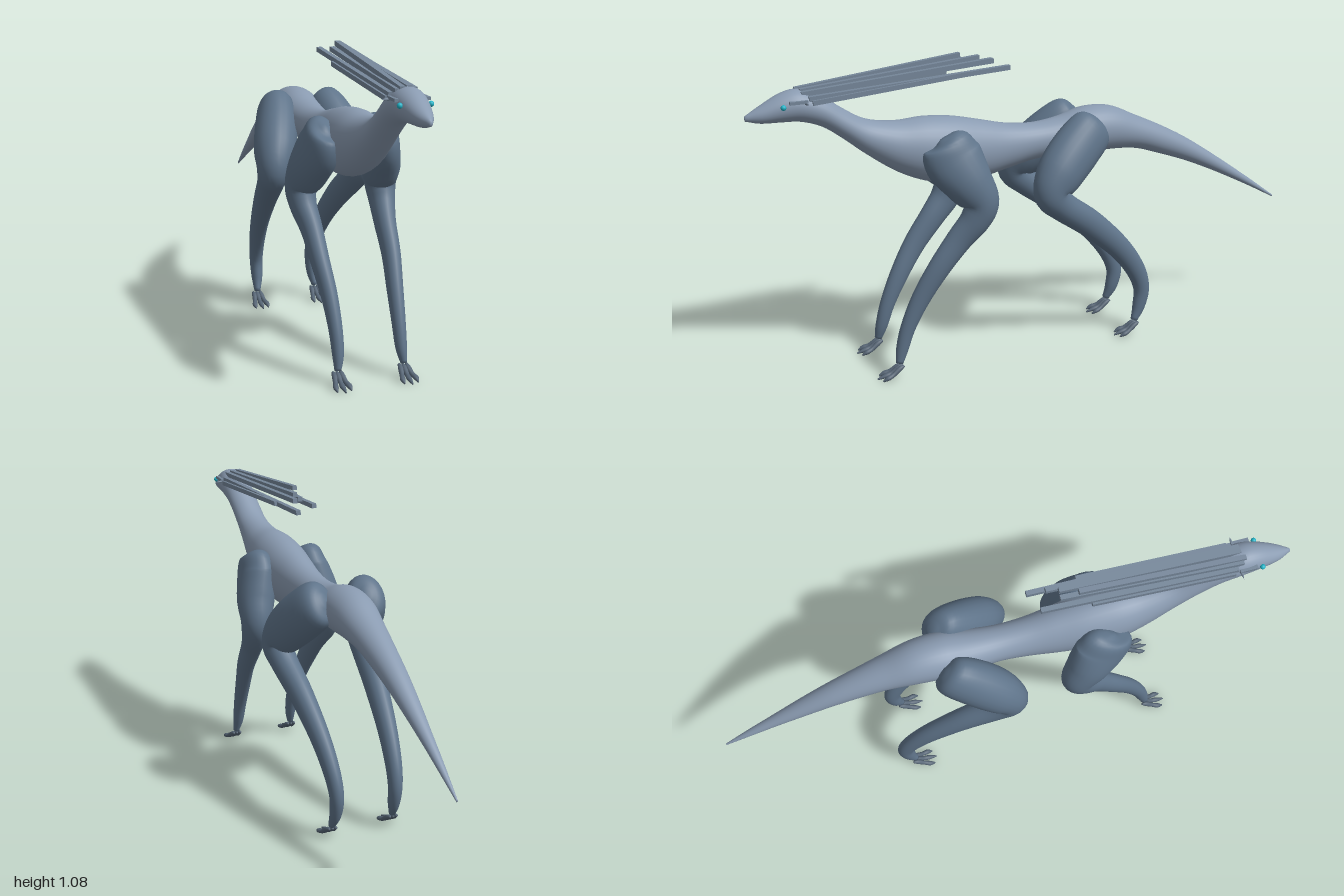
import * as THREE from 'three';

const mat = (name, color) => Object.assign(new THREE.MeshStandardMaterial({ color }), { name });

// Smooth closed skin through rows of [x, y, z, halfWidth, halfDepth].
// With upright = true the cross-sections stay vertical, otherwise they follow the path.
function loft(rows, steps, sides, upright = false) {
  const path = new THREE.CatmullRomCurve3(rows.map(r => new THREE.Vector3(r[0], r[1], r[2])), false, 'catmullrom');
  const size = new THREE.CatmullRomCurve3(rows.map(r => new THREE.Vector3(r[3], r[4], 0)), false, 'catmullrom');
  const pos = [], index = [];
  for (let i = 0; i <= steps; i++) {
    const t = i / steps, c = path.getPoint(t), s = size.getPoint(t);
    const T = upright ? new THREE.Vector3(0, 0, -1) : path.getTangent(t);
    const u = new THREE.Vector3(1, 0, 0).addScaledVector(T, -T.x).normalize();
    const w = new THREE.Vector3().crossVectors(T, u);
    for (let j = 0; j < sides; j++) {
      const a = j / sides * Math.PI * 2;
      const p = c.clone().addScaledVector(u, Math.cos(a) * s.x).addScaledVector(w, Math.sin(a) * s.y);
      pos.push(p.x, p.y, p.z);
    }
  }
  for (let i = 0; i < steps; i++) for (let j = 0; j < sides; j++) {
    const k = (j + 1) % sides, a = i * sides + j, b = i * sides + k, c = a + sides, d = b + sides;
    index.push(a, b, c, b, d, c);
  }
  // end caps
  const last = steps * sides, first = rows[0], end = rows[rows.length - 1], n = pos.length / 3;
  pos.push(first[0], first[1], first[2], end[0], end[1], end[2]);
  for (let j = 0; j < sides; j++) {
    const k = (j + 1) % sides;
    index.push(n, k, j, n + 1, last + j, last + k);
  }
  const g = new THREE.BufferGeometry();
  g.setAttribute('position', new THREE.Float32BufferAttribute(pos, 3));
  g.setIndex(index);
  g.computeVertexNormals();
  return g;
}

export function createModel() {
  const root = new THREE.Group();
  root.name = 'creature';
  const skin = mat('blue grey skin', 0x8a9bb1);
  const limb = mat('slate limb', 0x5f748a);
  const quill = mat('grey quill', 0x76879a);
  const claw = mat('dark claw', 0x566575);
  const teal = mat('teal eye', 0x22b4c8);
  const add = (parent, name, geo, m) => {
    const mesh = new THREE.Mesh(geo, m);
    mesh.name = name;
    parent.add(mesh);
    return mesh;
  };

  // Head, neck, trunk and tail as one skin: z, top, bottom, half width
  const outline = [
    [1.0, .947, .93, .006], [.95, .975, .918, .03], [.88, 1.01, .915, .047], [.82, 1.018, .91, .055],
    [.75, .99, .885, .054], [.68, .94, .835, .053], [.6, .893, .77, .058], [.5, .875, .7, .075],
    [.4, .878, .655, .09], [.3, .868, .637, .09], [.2, .845, .64, .078], [.1, .82, .66, .066],
    [0, .81, .68, .062], [-.1, .82, .682, .07], [-.2, .845, .68, .08], [-.3, .838, .68, .075],
    [-.4, .793, .67, .061], [-.5, .745, .637, .05], [-.6, .69, .6, .041], [-.7, .625, .556, .032],
    [-.8, .555, .507, .022], [-.9, .483, .455, .013], [-1, .408, .4, .003],
  ];
  add(root, 'body', loft(outline.map(([z, t, b, w]) => [0, (t + b) / 2, z, w, (t - b) / 2]), 110, 32, true), skin);

  // Legs, each one tapering tube from hip to ankle
  const foreLeg = [
    [.095, .825, .36, .012, .02], [.098, .805, .35, .05, .08], [.105, .75, .335, .062, .102],
    [.125, .67, .29, .067, .085], [.14, .6, .252, .055, .064], [.14, .54, .272, .045, .054],
    [.13, .47, .33, .036, .046], [.125, .38, .4, .031, .04], [.115, .28, .462, .027, .034],
    [.11, .18, .51, .023, .027], [.11, .1, .535, .019, .022], [.115, .05, .548, .011, .013],
  ];
  const hindLeg = [
    [.08, .808, -.213, .015, .02], [.088, .792, -.192, .058, .078], [.11, .735, -.12, .074, .09],
    [.14, .66, -.04, .073, .084], [.16, .598, -.002, .055, .064], [.155, .545, -.045, .047, .052],
    [.14, .46, -.16, .04, .049], [.125, .35, -.28, .033, .042], [.115, .25, -.355, .028, .036],
    [.11, .17, -.385, .024, .03], [.11, .1, -.376, .02, .024], [.115, .05, -.355, .011, .013],
  ];
  for (const s of [1, -1]) {
    const side = s > 0 ? 'left' : 'right';
    for (const [name, rows] of [['ForeLeg', foreLeg], ['HindLeg', hindLeg]]) {
      const leg = new THREE.Group();
      leg.name = side + name;
      root.add(leg);
      add(leg, 'leg', loft(rows.map(([x, ...r]) => [s * x, ...r]), 60, 24), limb);
      // Splayed toes
      const z = rows[rows.length - 1][2];
      for (const [x0, x1, reach] of [[.102, .092, .068], [.115, .115, .08], [.128, .139, .068]]) {
        const toe = [
          [s * x0, .043, z - .012, .004, .004], [s * x0, .035, z + .004, .009, .009],
          [s * (x0 + x1) / 2, .018, z + .03, .008, .008], [s * x1, .012, z + .05, .009, .008],
          [s * x1, .004, z + reach, .002, .003],
        ];
        add(leg, 'toe', loft(toe, 16, 10), claw);
      }
    }

    // Eye and the small horn behind it
    const eye = add(root, side + 'Eye', new THREE.SphereGeometry(.009, 16, 12), teal);
    eye.position.set(s * .049, .974, .885);
    const horn = add(root, side + 'CheekHorn', new THREE.ConeGeometry(.008, .035, 10), quill);
    horn.position.set(s * .062, .981, .81);
    horn.rotation.z = -s * Math.PI / 2;
    const brow = add(root, side + 'Brow', new THREE.BoxGeometry(.014, .01, .06), quill);
    brow.position.set(s * .05, .986, .835);
  }

  // Crest of long straight quills swept back from the head
  const quills = [
    [-.018, 1.012, .83, -.018, 1.072, .26], [.008, 1.012, .82, .006, 1.063, .2],
    [.025, 1.006, .82, .022, 1.052, .16], [-.03, 1.005, .82, -.014, 1.045, .2],
    [-.043, .992, .8, -.036, 1.035, .13], [.042, .992, .8, .036, 1.025, .1],
    [.05, .98, .79, .048, 1.02, .27], [-.05, .98, .79, -.045, 1.012, .3],
  ];
  const crest = new THREE.Group();
  crest.name = 'crest';
  root.add(crest);
  for (const q of quills) {
    const a = new THREE.Vector3(...q.slice(0, 3)), b = new THREE.Vector3(...q.slice(3));
    const rod = add(crest, 'quill', new THREE.BoxGeometry(.017, .016, a.distanceTo(b)), quill);
    rod.position.copy(a).lerp(b, .5);
    rod.lookAt(b);
  }
  return root;
}
